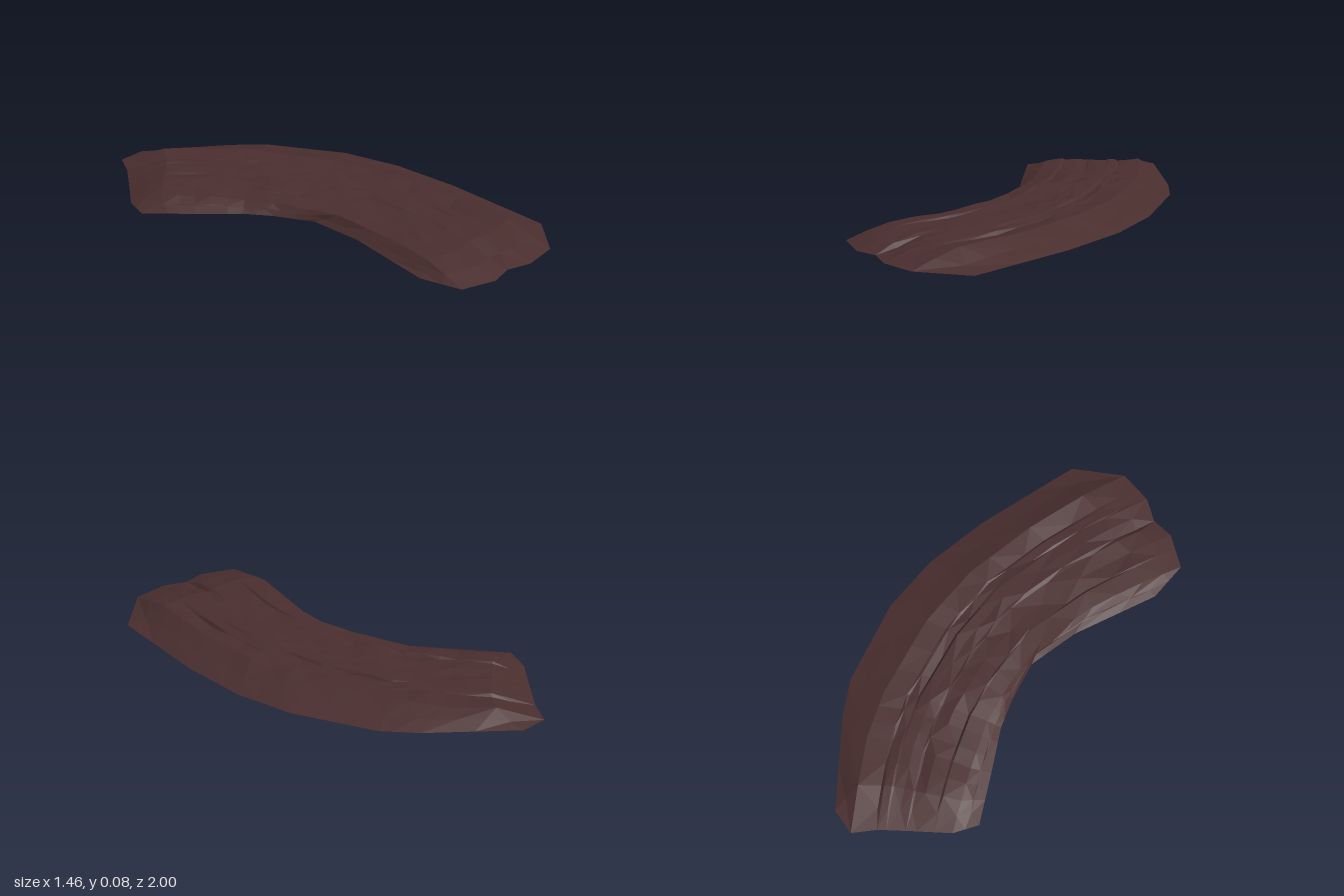
import * as THREE from 'three';

// Outline of the curved dirt path as [parameter, x, z]
const innerSide = [[0, -0.73, -0.43], [0.167, -0.53, -0.28], [0.333, -0.35, -0.15], [0.5, -0.25, -0.05],
  [0.667, -0.125, 0.11], [0.833, -0.07, 0.36], [1, -0.055, 0.79]];
const outerSide = [[0, -0.4, -1], [0.167, 0, -0.8], [0.333, 0.155, -0.695], [0.5, 0.42, -0.38],
  [0.667, 0.55, -0.12], [0.833, 0.64, 0.2], [1, 0.727, 0.72]];
const backEnd = [[0, -0.73, -0.43], [0.18, -0.715, -0.555], [0.4, -0.64, -0.7], [0.675, -0.56, -0.86],
  [0.8, -0.525, -0.975], [1, -0.4, -1]];
const frontEnd = [[0, -0.055, 0.79], [0.18, 0.03, 0.97], [0.4, 0.2, 1], [0.475, 0.3, 0.96],
  [0.61, 0.42, 0.98], [0.8, 0.58, 0.935], [1, 0.727, 0.72]];

// Columns run across the path; close pairs form the walls of the ruts
const columns = [0, 0.08, 0.095, 0.18, 0.29, 0.305, 0.4, 0.46, 0.475, 0.54, 0.61, 0.625, 0.675, 0.69, 0.8, 0.9, 1];
const rows = [0, 0.04, 0.08, 0.125, 0.167, 0.22, 0.28, 0.333, 0.385, 0.44, 0.5, 0.555, 0.61, 0.667,
  0.72, 0.775, 0.833, 0.88, 0.925, 0.965, 1];
// Ruts: [column u of the low side, start v, end v, depth]
const ruts = [[0.625, 0.17, 0.72, 0.012], [0.69, 0.68, 0.95, 0.012], [0.305, 0.68, 0.9, 0.012], [0.475, 0.88, 1.05, 0.014],
  [0.305, 0.13, 0.42, 0.012], [0.69, 0.02, 0.17, 0.01], [0.095, 0.61, 0.78, 0.01]];

function sample(line, t) {
  let i = 0;
  while (i < line.length - 2 && t > line[i + 1][0]) i++;
  const [t0, x0, z0] = line[i], [t1, x1, z1] = line[i + 1];
  const k = (t - t0) / (t1 - t0);
  return [x0 + (x1 - x0) * k, z0 + (z1 - z0) * k];
}

// Patch stretched between the four boundary lines
function plan(u, v) {
  const a = sample(innerSide, v), b = sample(outerSide, v), c = sample(backEnd, u), d = sample(frontEnd, u);
  return [0, 1].map((k) => (1 - u) * a[k] + u * b[k] + (1 - v) * c[k] + v * d[k]
    - (1 - u) * ((1 - v) * innerSide[0][k + 1] + v * innerSide[6][k + 1])
    - u * ((1 - v) * outerSide[0][k + 1] + v * outerSide[6][k + 1]));
}

let seed = 11;
const random = () => (seed = (seed * 16807) % 2147483647) / 2147483647;

function height(u, v) {
  const r = random() - 0.5;
  // The outer front corner sinks slightly
  const rim = 0.015 - 0.015 * Math.max(0, (u - 0.8) / 0.2) * Math.max(0, (v - 0.5) / 0.5);
  if (u === 0 || u === 1 || v === 0 || v === 1) return rim;
  const slope = Math.min(u / 0.2, (1 - u) / 0.2, 1) * Math.min(v / 0.09 + 0.1, (1 - v) / 0.08 + 0.1, 1);
  let y = rim + slope * (0.052 + 0.009 * r + 0.003 * Math.sin(u * 23 + v * 3));
  // Small lump beside the inner bend
  y += 0.018 * Math.max(0, 1 - Math.hypot((u - 0.38) / 0.12, (v - 0.4) / 0.08));
  for (const [at, from, to, depth] of ruts) {
    if (v <= from || v >= to || u < at - 0.001 || u > at + 0.08) continue;
    y -= depth * Math.sin(Math.PI * (v - from) / (to - from)) * (1 - (u - at) / 0.09);
  }
  return Math.max(y, 0.015);
}

export function createModel() {
  const group = new THREE.Group();
  group.name = 'curvedDirtPath';
  const soil = new THREE.MeshStandardMaterial({ color: 0x4a2e2e, flatShading: true, side: THREE.DoubleSide });
  soil.name = 'dark brown soil';

  // Open-bottomed shell of low, rutted soil
  const positions = [], index = [], n = columns.length;
  rows.forEach((v, i) => columns.forEach((u, j) => {
    const [x, z] = plan(u, v);
    positions.push(x, height(u, v), z);
    if (i === rows.length - 1 || j === n - 1) return;
    const a = i * n + j, b = a + n;
    if ((i + j) % 2) index.push(a, b, a + 1, a + 1, b, b + 1);
    else index.push(a, b, b + 1, a, b + 1, a + 1);
  }));
  const geometry = new THREE.BufferGeometry();
  geometry.setAttribute('position', new THREE.Float32BufferAttribute(positions, 3));
  geometry.setIndex(index);
  geometry.computeVertexNormals();

  const path = new THREE.Mesh(geometry, soil);
  path.name = 'pathSurface';
  group.add(path);
  return group;
}
